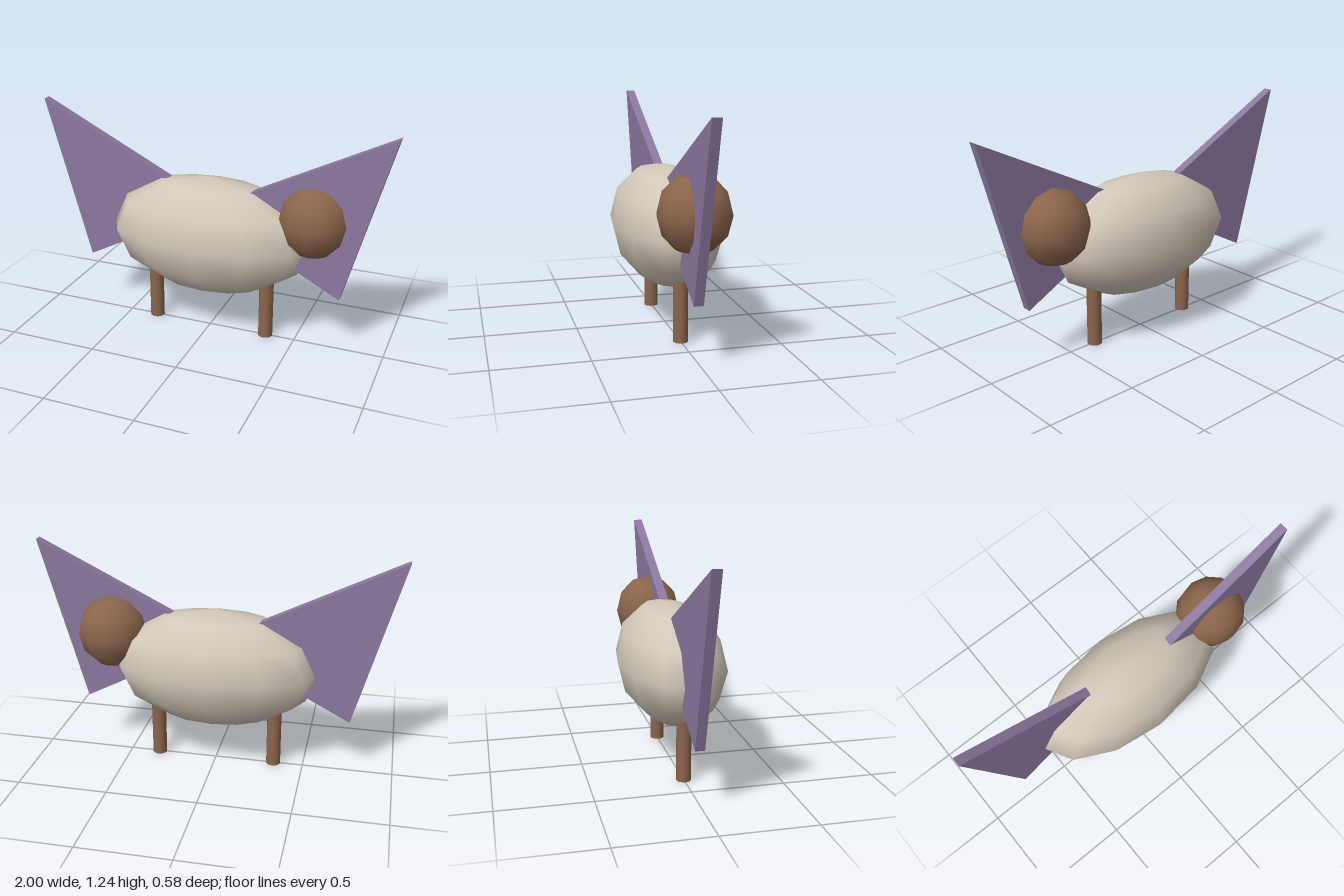
import * as THREE from 'three';

const mat = (name, color) => {
  const m = new THREE.MeshStandardMaterial({ color });
  m.name = name;
  return m;
};

export function createModel() {
  const cream = mat('cream', 0xd2c8b9);
  const brown = mat('brown', 0x8b654b);
  const purple = mat('purple', 0x8c789f);
  const group = new THREE.Group();
  const add = (name, geometry, material, x = 0, y = 0, z = 0) => {
    const mesh = new THREE.Mesh(geometry, material);
    mesh.name = name;
    mesh.position.set(x, y, z);
    group.add(mesh);
    return mesh;
  };

  // Body and head: coarse smooth-shaded ellipsoids
  const ellipsoid = (rx, ry, rz) => new THREE.SphereGeometry(1, 12, 6).scale(rx, ry, rz);
  add('body', ellipsoid(0.58, 0.33, 0.288), cream, 0, 0.57, 0);
  add('head', ellipsoid(0.195, 0.203, 0.19), brown, 0.583, 0.736, 0);

  // Triangular slab wings, the second turned half way round
  const outline = new THREE.Shape([
    new THREE.Vector2(-0.02, 0.727),
    new THREE.Vector2(0.75, 0.322),
    new THREE.Vector2(1, 1.235),
  ]);
  const wing = new THREE.ExtrudeGeometry(outline, { depth: 0.05, bevelEnabled: false });
  add('leftWing', wing, purple);
  add('rightWing', wing, purple).rotation.y = Math.PI;

  // Legs, running up into the body
  const leg = new THREE.CylinderGeometry(0.04, 0.04, 0.4, 16);
  for (const s of [1, -1]) add(s > 0 ? 'leftLeg' : 'rightLeg', leg, brown, s * 0.333, 0.2, 0);

  return group;
}
